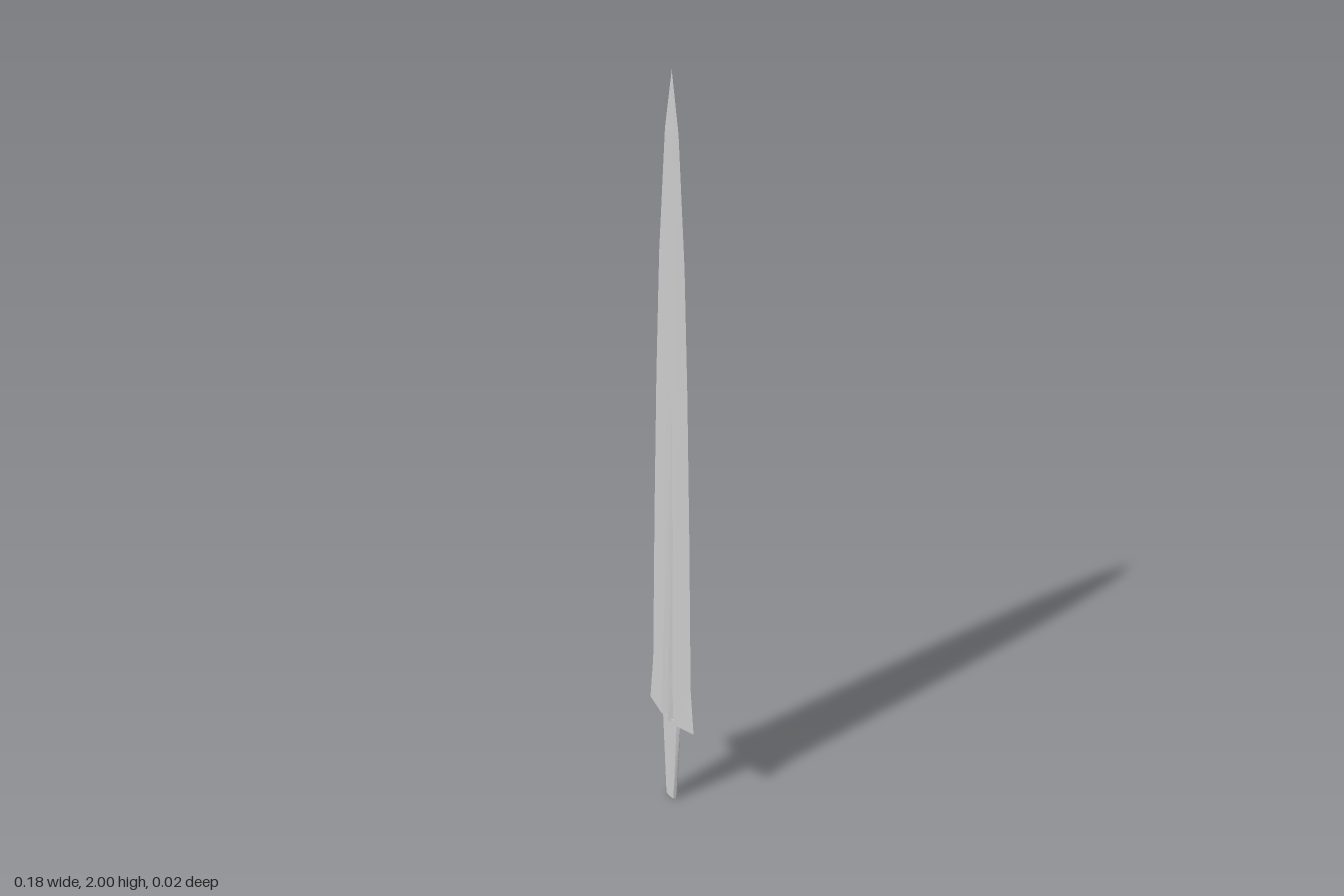
import * as THREE from 'three';

// Skins a list of closed rings (each running +x, +z, -x, -z) and caps both ends.
function loft(rings) {
  const pos = [];
  const tri = (a, b, c) => pos.push(...a, ...b, ...c);
  const n = rings[0].length;
  const middle = (ring) => [0, ring.reduce((m, p) => Math.min(m, p[1]), Infinity), 0];
  const first = rings[0], last = rings[rings.length - 1];
  for (let i = 0; i < n; i++) {
    const j = (i + 1) % n;
    for (let k = 0; k < rings.length - 1; k++) {
      const lo = rings[k], hi = rings[k + 1];
      tri(lo[j], lo[i], hi[i]);
      tri(lo[j], hi[i], hi[j]);
    }
    tri(middle(first), first[i], first[j]);
    tri(middle(last), last[j], last[i]);
  }
  const geo = new THREE.BufferGeometry();
  geo.setAttribute('position', new THREE.Float32BufferAttribute(pos, 3));
  geo.computeVertexNormals();
  return geo;
}

// Mirrors a quarter section [x, z], listed from the edge to the centre line, into a ring.
function mirrorRing(quarter, y, rise = 0) {
  const w = quarter[0][0] || 1;
  const back = quarter.slice(0, -1).reverse();
  const front = [...quarter, ...back.map(([x, z]) => [-x, z])];
  const rear = front.slice(1, -1).reverse().map(([x, z]) => [x, -z]);
  return [...front, ...rear].map(([x, z]) => [x, y + rise * Math.abs(x) / w, z]);
}

export function createModel() {
  const group = new THREE.Group();
  const material = new THREE.MeshStandardMaterial({ color: 0xcccccc, flatShading: true });
  const add = (name, geometry) => {
    const mesh = new THREE.Mesh(geometry, material);
    mesh.name = name;
    group.add(mesh);
  };

  // Blade: height, half width, bevel depth, groove depth, centre ridge depth
  const stations = [
    [0.27, 0.088, 0.010, 0.005, 0.012],
    [0.42, 0.075, 0.009, 0.005, 0.010],
    [0.90, 0.065, 0.007, 0.005, 0.008],
    [1.27, 0.055, 0.006, 0.006, 0.006],
    [1.58, 0.043, 0.005, 0.005, 0.005],
    [1.87, 0.022, 0.003, 0.003, 0.003],
    [2.00, 0, 0, 0, 0],
  ];
  add('blade', loft(stations.map(([y, w, bevel, groove, ridge], i) =>
    mirrorRing([[w, 0], [w * 0.34, bevel], [w * 0.13, groove], [0, ridge]], y, i ? 0 : 0.012))));

  // Tang: tapered bar with narrow side bevels, set into the blade base
  add('tang', loft([[0, 0.018], [0.03, 0.02], [0.28, 0.035]].map(([y, w]) =>
    mirrorRing([[w, 0], [w * 0.8, 0.006], [0, 0.008]], y))));

  return group;
}
